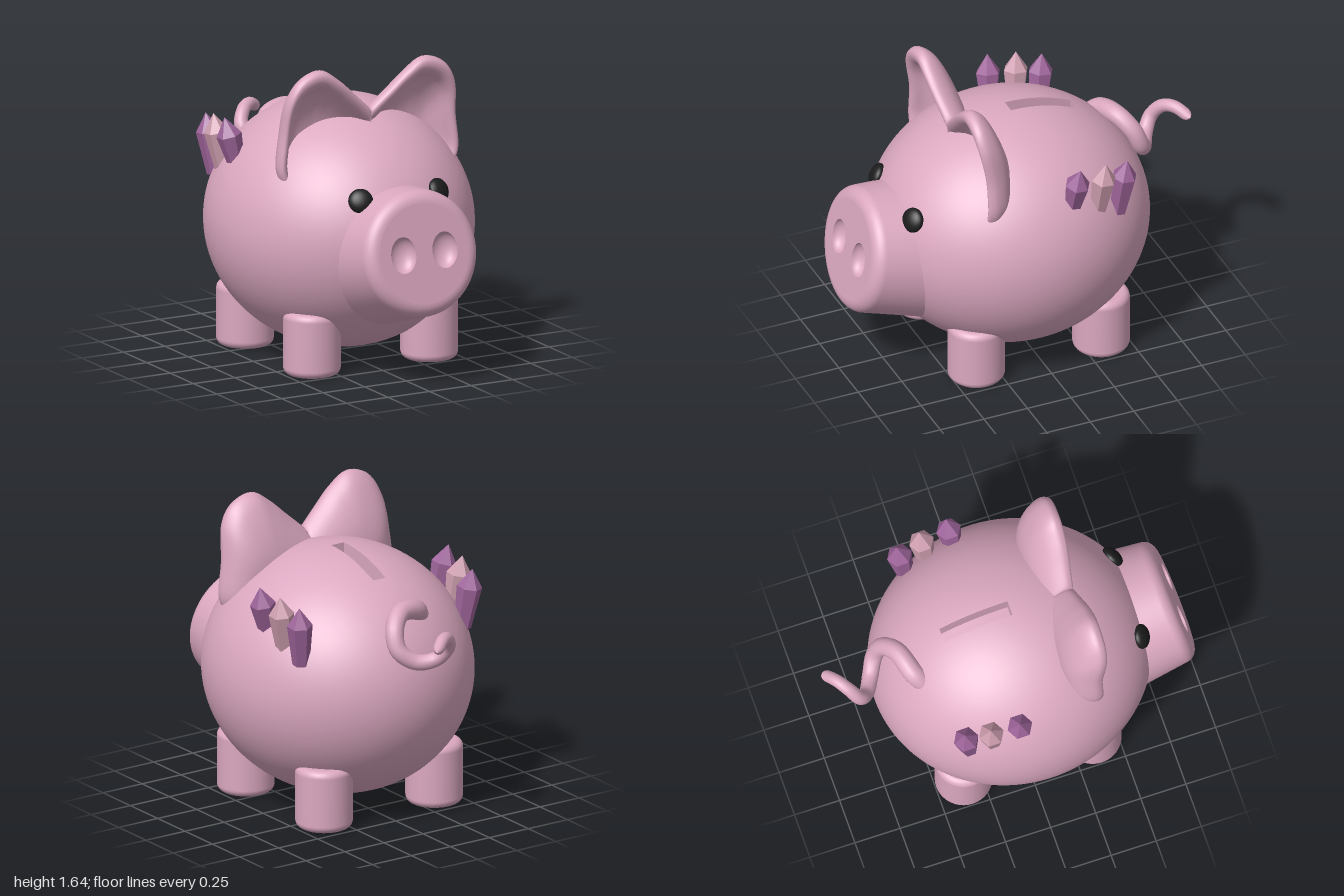
import * as THREE from 'three';
import { mergeGeometries } from 'three/addons/utils/BufferGeometryUtils.js';

const V2 = (x, y) => new THREE.Vector2(x, y);
const V3 = (x, y, z) => new THREE.Vector3(x, y, z);

const BODY = { y: 0.72, z: 0.03, rx: 0.7, ry: 0.67, rz: 0.755 };
const SLOT = { half: 0.04, angle: Math.PI / 6, depth: 0.09 };

// Points of a quarter-turn or other arc, used for rounded profile corners
function arc(cx, cy, r, from, to, n = 8) {
  return Array.from({ length: n + 1 }, (_, i) => {
    const a = from + ((to - from) * i) / n;
    return V2(cx + r * Math.cos(a), cy + r * Math.sin(a));
  });
}

// Reverses the winding of every triangle
function flip(geo) {
  const ix = geo.index.array;
  for (let i = 0; i < ix.length; i += 3) [ix[i], ix[i + 1]] = [ix[i + 1], ix[i]];
  return geo;
}

function mirrorX(geo) {
  return flip(geo.clone().scale(-1, 1, 1));
}

// Ellipsoid with its poles on x, leaving out a rectangle on top for the slot
function bodyGeometry() {
  const t = Math.acos(SLOT.half / BODY.rx);
  const start = Math.PI + SLOT.angle;
  const full = 2 * Math.PI;
  const geo = mergeGeometries([
    new THREE.SphereGeometry(1, 96, 32, start, full, 0, t),
    new THREE.SphereGeometry(1, 88, 4, start, full - SLOT.angle, t, Math.PI - 2 * t),
    new THREE.SphereGeometry(1, 96, 32, start, full, Math.PI - t, t),
  ]);
  return geo.rotateZ(Math.PI / 2).scale(BODY.rx, BODY.ry, BODY.rz).translate(0, BODY.y, BODY.z);
}

// Open pocket below the slot; its rim follows the body surface
function slotGeometry() {
  const geo = new THREE.BoxGeometry(SLOT.half * 2, 1, 1, 1, 1, 8);
  const lid = geo.groups[2];
  geo.setIndex([...geo.index.array].filter((_, i) => i < lid.start || i >= lid.start + lid.count));
  geo.clearGroups();
  const p = geo.attributes.position;
  for (let i = 0; i < p.count; i++) {
    const a = (0.5 - p.getZ(i)) * SLOT.angle;
    const drop = p.getY(i) < 0 ? SLOT.depth : 0;
    p.setY(i, BODY.y + BODY.ry * Math.cos(a) - drop);
    p.setZ(i, BODY.z - BODY.rz * Math.sin(a));
  }
  flip(geo).computeVertexNormals();
  return geo;
}

// Cupped ear: an arched outline scaled through a rim-shaped profile
function earGeometry() {
  const outline = new THREE.CatmullRomCurve3([
    [0.46, 0.95], [0.525, 1.06], [0.54, 1.12], [0.522, 1.3], [0.497, 1.5], [0.43, 1.6], [0.31, 1.64],
    [0.2, 1.575], [0.1, 1.485], [0, 1.395], [-0.1, 1.3], [-0.12, 1.1],
  ].map(([x, y]) => V3(x, y, 0))).getSpacedPoints(72);
  // Scale of the outline, then depth
  const profile = new THREE.CatmullRomCurve3([
    [0, -0.14], [0.5, -0.128], [0.8, -0.09], [0.94, -0.045], [1, 0.005], [0.97, 0.038], [0.9, 0.045],
    [0.82, 0.025], [0.75, -0.025], [0.5, -0.085], [0, -0.1],
  ].map(([k, d]) => V3(k, d, 0))).getPoints(40);
  const pos = [], index = [], n = outline.length;
  profile.forEach(({ x: k, y: d }, j) => outline.forEach((o, i) => {
    const y = 1.15 + k * (o.y - 1.15);
    const lean = 0.325 + 0.045 * THREE.MathUtils.smoothstep(y, 1.25, 1.6);
    pos.push(Math.max(0, 0.27 + k * (o.x - 0.27)), y, lean + d);
    if (i < n - 1 && j < profile.length - 1) {
      const a = j * n + i;
      index.push(a, a + 1, a + n, a + 1, a + n + 1, a + n);
    }
  }));
  const geo = new THREE.BufferGeometry();
  geo.setAttribute('position', new THREE.Float32BufferAttribute(pos, 3));
  geo.setIndex(index);
  geo.computeVertexNormals();
  return geo;
}

// Curly tube that tapers to a rounded tip
function tailGeometry() {
  const curve = new THREE.CatmullRomCurve3([
    [-0.15, 1.1, -0.49], [-0.1, 1.165, -0.54], [0.03, 1.185, -0.585], [0.105, 1.12, -0.64],
    [0.11, 1.02, -0.685], [0.03, 0.955, -0.735], [-0.06, 0.97, -0.785], [-0.1, 1.04, -0.835],
    [-0.06, 1.11, -0.885], [0, 1.125, -0.93], [0.075, 1.085, -0.985],
  ].map((p) => V3(...p)));
  const n = 120, sides = 16;
  const geo = new THREE.TubeGeometry(curve, n, 1, sides);
  const p = geo.attributes.position, v = V3(0, 0, 0);
  for (let i = 0; i <= n; i++) {
    const u = i / n, c = curve.getPointAt(u);
    const tip = Math.max(0, (u - 0.96) / 0.04);
    const r = (0.058 - 0.027 * u) * Math.sqrt(Math.max(0, 1 - tip * tip));
    for (let s = 0; s <= sides; s++) {
      const k = i * (sides + 1) + s;
      v.fromBufferAttribute(p, k).sub(c).multiplyScalar(r).add(c);
      p.setXYZ(k, v.x, v.y, v.z);
    }
  }
  return geo;
}

// Six-sided faceted crystal standing on its base
function crystalGeometry(length) {
  const profile = [V2(0, 0), V2(0.046, 0.02), V2(0.068, length - 0.1), V2(0, length)];
  const geo = new THREE.LatheGeometry(profile, 6).toNonIndexed();
  geo.computeVertexNormals();
  return geo;
}

export function createModel() {
  const model = new THREE.Group();
  model.name = 'piggyBank';
  const material = (name, color) => Object.assign(new THREE.MeshStandardMaterial({ color }), { name });
  const pink = material('pink', 0xdba8c0);
  const purple = material('purple', 0x9f659b);
  const paleRose = material('paleRose', 0xcf9fb0);
  const black = material('black', 0x1c1c1c);
  const add = (name, geo, mat, parent = model) => {
    const mesh = new THREE.Mesh(geo, mat);
    mesh.name = name;
    parent.add(mesh);
    return mesh;
  };

  add('body', bodyGeometry(), pink);
  add('coinSlot', slotGeometry(), pink);
  add('tail', tailGeometry(), pink);

  // Snout: rounded cone, face plate with two holes, and nostril bowls
  const snout = new THREE.Group();
  snout.name = 'snout';
  snout.position.set(0, 0.735, 0.945);
  snout.rotation.x = -0.195;
  model.add(snout);
  const side = [V2(0.405, -0.6), V2(0.37, -0.335), ...arc(0.268, -0.07, 0.07, 0.1, Math.PI / 2)];
  add('snoutSide', new THREE.LatheGeometry(side, 64).rotateX(Math.PI / 2), pink, snout);
  const face = new THREE.Shape().absarc(0, 0, 0.268, 0, Math.PI * 2);
  for (const s of [1, -1]) {
    face.holes.push(new THREE.Path().absellipse(s * 0.124, 0.005, 0.075, 0.097, 0, Math.PI * 2));
    const bowl = new THREE.SphereGeometry(1, 64, 12, 0, Math.PI * 2, 0, Math.PI / 2)
      .rotateX(-Math.PI / 2).scale(0.075, 0.097, 0.06);
    flip(bowl).computeVertexNormals();
    add(s > 0 ? 'leftNostril' : 'rightNostril', bowl, pink, snout).position.set(s * 0.124, 0.005, 0);
  }
  add('snoutFace', new THREE.ShapeGeometry(face, 32), pink, snout);

  // Legs
  const r = 0.152, h = 0.345, c = 0.04;
  const leg = new THREE.LatheGeometry([
    V2(0, 0), ...arc(r - c, c, c, -Math.PI / 2, 0), ...arc(r - c, h - c, c, 0, Math.PI / 2), V2(0, h),
  ], 40);

  const ear = earGeometry();
  const eye = new THREE.SphereGeometry(1, 20, 14).scale(0.066, 0.066, 0.036);

  // Crystals: base point, tip point, colour
  const crystals = [
    [V3(0.54, 1.04, -0.1), V3(0.605, 1.31, -0.12), purple],
    [V3(0.535, 0.98, -0.25), V3(0.585, 1.295, -0.275), paleRose],
    [V3(0.515, 0.92, -0.37), V3(0.555, 1.265, -0.41), purple],
  ];

  for (const s of [1, -1]) {
    const label = s > 0 ? 'left' : 'right';
    add(`${label}FrontLeg`, leg, pink).position.set(s * 0.353, 0, 0.368);
    add(`${label}BackLeg`, leg, pink).position.set(s * 0.353, 0, -0.348);
    add(`${label}Ear`, s > 0 ? ear : mirrorX(ear), pink);

    // Flattened eye turned along the body surface
    const e = add(`${label}Eye`, eye, black);
    e.position.set(s * 0.235, 0.99, 0.68);
    e.lookAt(s * 0.235 + s * 0.48, 0.99 + 0.6, 0.68 + 1.13);

    crystals.forEach(([base, tip, mat], i) => {
      const dir = V3(s * (tip.x - base.x), tip.y - base.y, tip.z - base.z);
      const m = add(`${label}Crystal${i + 1}`, crystalGeometry(dir.length()), mat);
      m.position.set(s * base.x, base.y, base.z);
      m.quaternion.setFromUnitVectors(V3(0, 1, 0), dir.normalize());
    });
  }
  return model;
}
